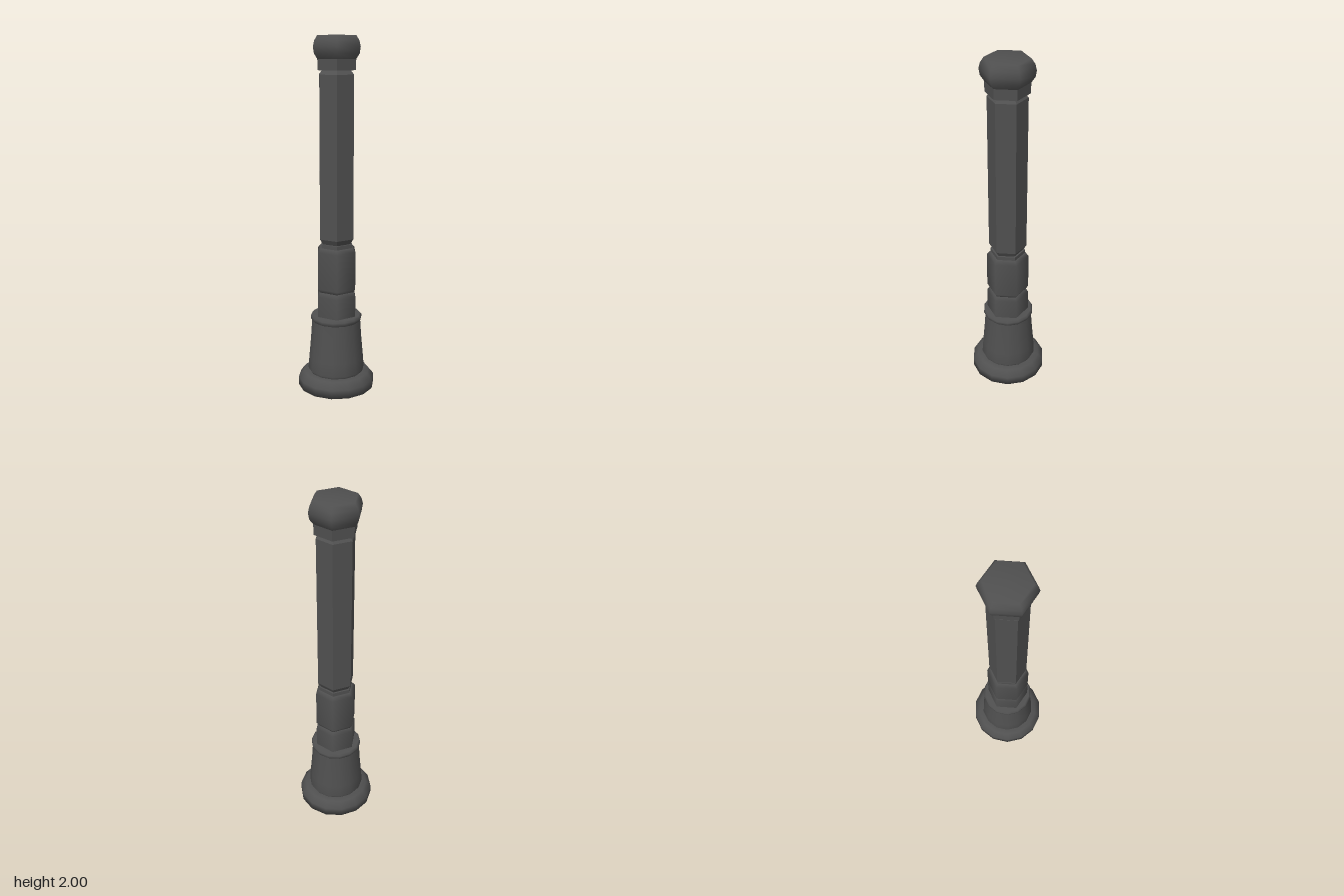
import * as THREE from 'three';

export function createModel() {
  const model = new THREE.Group();
  model.name = 'post';
  const smooth = new THREE.MeshStandardMaterial({ color: 0x505050 });
  const faceted = new THREE.MeshStandardMaterial({ color: 0x505050, flatShading: true });

  // Turned part from [radius, height] pairs, bottom to top, with a corner on the x axis
  function turned(name, sides, profile, material = smooth, z = 0) {
    const points = profile.map(([r, y]) => new THREE.Vector2(r, y));
    const mesh = new THREE.Mesh(new THREE.LatheGeometry(points, sides, Math.PI / 2), material);
    mesh.name = name;
    mesh.position.z = z;
    model.add(mesh);
  }

  // Fourteen-sided foot
  turned('basePlate', 14, [[0, 0], [0.22, 0], [0.22, 0.05], [0.19, 0.088], [0.155, 0.09], [0, 0.09]]);
  turned('taperedFoot', 14, [[0.152, 0.085], [0.163, 0.105], [0.157, 0.18], [0.147, 0.29], [0.139, 0.41]]);
  turned('footRing', 14, [[0.136, 0.395], [0.147, 0.41], [0.147, 0.424], [0.138, 0.435], [0, 0.435]]);

  // Six-sided collars
  const z = 0.003;
  turned('lowerCollar', 6, [[0.122, 0.43], [0.122, 0.555], [0.105, 0.585], [0, 0.585]], smooth, z);
  turned('upperCollar', 6, [[0, 0.575], [0.105, 0.575], [0.121, 0.6], [0.121, 0.815], [0.1, 0.838], [0, 0.838]], smooth, z);
  turned('collarLip', 6, [[0.099, 0.83], [0.099, 0.86], [0, 0.862]], faceted, z);

  // Six-sided shaft with chamfered ends
  turned('shaft', 6, [[0.085, 0.855], [0.107, 0.89], [0.107, 1.795], [0.085, 1.82]], faceted, z);

  // Cap with neck and flat top
  turned('capNeck', 6, [[0, 1.818], [0.117, 1.818], [0.119, 1.88]], faceted, z);
  turned('cap', 6, [[0.118, 1.875], [0.139, 1.905], [0.145, 1.94], [0.137, 1.972], [0.118, 2], [0, 2]], smooth, z);

  return model;
}
